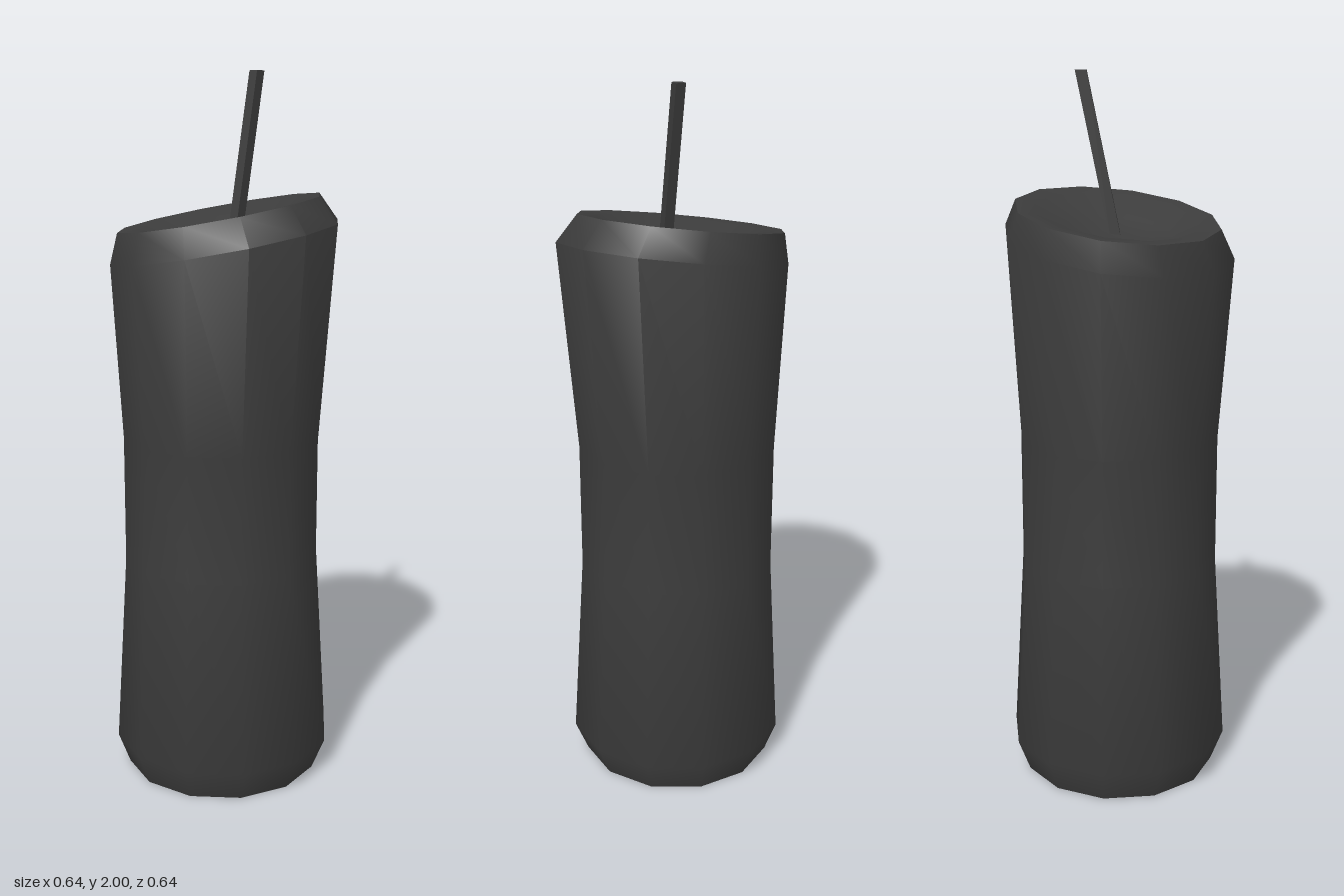
import * as THREE from 'three';
import { toCreasedNormals } from 'three/addons/utils/BufferGeometryUtils.js';

// Rings from the base centre up to the dish centre: radius, height, z offset, tilt
const RINGS = [
  [0, 0, -0.01, 0],
  [0.28, 0, -0.01, 0],
  [0.315, 0.09, -0.008, 0],
  [0.282, 0.64, -0.01, 0],
  [0.282, 1.0, -0.01, 0],
  [0.318, 1.545, 0.002, 0.13],
  [0.283, 1.622, -0.022, 0.13], // rim
  [0.23, 1.617, -0.02, 0.13],
  [0.15, 1.575, -0.015, 0.12],
  [0.07, 1.56, -0.01, 0.12],
  [0, 1.557, -0.01, 0.12],
];

// Twelve-sided waisted wax body with a slanted, dished top
function makeBody(material) {
  const profile = RINGS.map(([r, y]) => new THREE.Vector2(r, y));
  const geometry = new THREE.LatheGeometry(profile, 12);
  const pos = geometry.attributes.position;
  for (let i = 0; i < pos.count; i++) {
    const [, y, dz, tilt] = RINGS[i % RINGS.length];
    const x = pos.getX(i);
    const z = pos.getZ(i);
    pos.setXYZ(i, x, y + tilt * (x + z), z + dz);
  }
  const mesh = new THREE.Mesh(toCreasedNormals(geometry, 0.8), material);
  mesh.name = 'candleBody';
  return mesh;
}

// Square wick leaning towards +x, with level ends
function makeWick(material) {
  const bottom = 1.53;
  const height = 2 - bottom;
  const geometry = new THREE.BoxGeometry(0.031, height, 0.027);
  geometry.rotateY(0.13);
  geometry.translate(0, height / 2, 0);
  const pos = geometry.attributes.position;
  for (let i = 0; i < pos.count; i++) {
    const t = pos.getY(i) / height;
    pos.setX(i, pos.getX(i) + 0.009 + 0.096 * t);
    pos.setZ(i, pos.getZ(i) + 0.027 - 0.014 * t);
  }
  geometry.computeVertexNormals();
  const mesh = new THREE.Mesh(geometry, material);
  mesh.position.y = bottom;
  mesh.name = 'wick';
  return mesh;
}

export function createModel() {
  const group = new THREE.Group();
  group.name = 'candle';
  const material = new THREE.MeshStandardMaterial({ color: 0x3c3c3c });
  group.add(makeBody(material), makeWick(material));
  return group;
}
